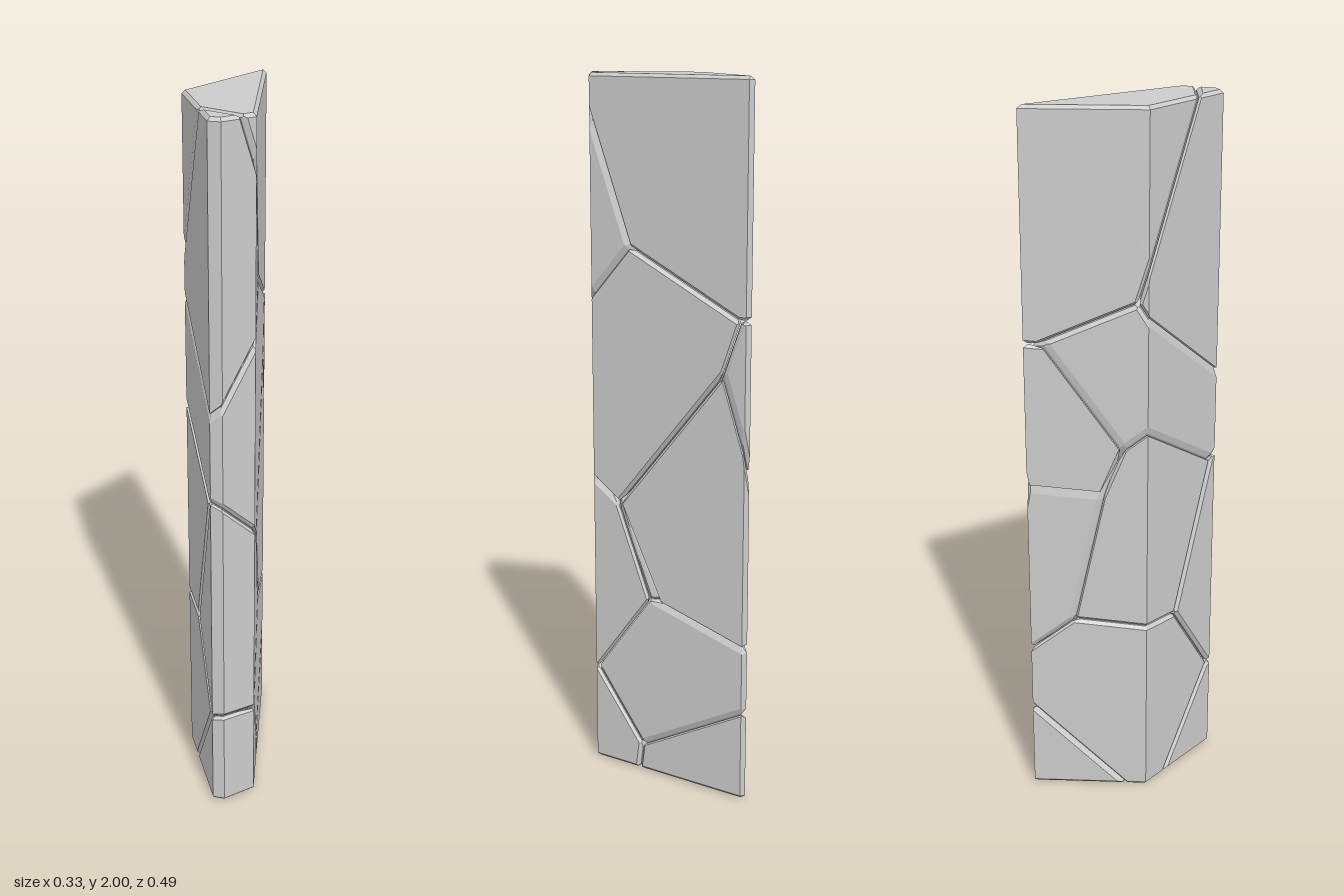
import * as THREE from 'three';

const V = (x, y, z) => new THREE.Vector3(x, y, z);
const GAP = 0.0015;   // half the width of a crack
const BEVEL = 0.009;  // width of the chamfered rims
const HEIGHT = 2;

// Footprint of the shard as x, z corners
const footprint = [
  [0.158, -0.244], [-0.127, -0.077], [-0.163, 0.222],
  [-0.135, 0.242], [-0.037, 0.222], [0.163, -0.23],
];

// Points on the three broad sides
const onRight = (z, y) => V(-0.037 + (0.222 - z) * 0.4425, y, z);
const onBack = (x, y) => V(x, y, -0.077 - (x + 0.127) * 0.586);
const onLeft = (z, y) => V(-0.127 - (z + 0.077) * 0.12, y, z);

// Junctions where cracks meet
const P = {
  a: onRight(0.11, 1.545), b: onRight(-0.21, 1.375), c: onRight(-0.17, 1.23),
  d: onRight(0.145, 0.81), e: onRight(0.045, 0.54), f: onRight(0.215, 0.29),
  g: onRight(0.075, 0.085), h: onRight(0.085, 0),
  i: onBack(-0.103, 1.49), j: onBack(0.106, 1.374), k: onBack(-0.07, 1.085),
  l: onBack(-0.018, 0.938), m: onBack(0.053, 0.556), n: onBack(-0.075, 0),
  o: onLeft(0.12, 2), p: onLeft(-0.077, 1.136), q: onLeft(0.206, 0.966),
  r: onLeft(0.052, 0.526), s: onLeft(0.206, 0.286),
  t: V(-0.163, 1.22, 0.222), u: V(-0.163, 0.98, 0.222), v: V(-0.037, 0.87, 0.222),
  w: V(-0.163, 0.29, 0.222), x: V(0.158, 1.378, -0.244), y: V(0.158, 0.955, -0.244),
  z: V(0.158, 0.46, -0.244), A: V(0.16, 0.265, -0.24),
  B: V(-0.048, 1.046, -0.099), C: V(-0.058, 0, 0.032),
};

// Cracks: piece above, piece below, three junctions on the plane between them
const cracks = [
  ['top', 'topFront', 'aoi'], ['top', 'upperMiddle', 'abi'],
  ['topFront', 'upperMiddle', 'ait'], ['top', 'upperBack', 'bjx'],
  ['upperMiddle', 'upperBack', 'cjk'], ['upperMiddle', 'middleRight', 'cdB'],
  ['upperBack', 'middleRight', 'cly'], ['upperMiddle', 'middleLeft', 'kpq'],
  ['upperBack', 'middleLeft', 'klB'], ['upperMiddle', 'lowerFront', 'dvu'],
  ['middleRight', 'middleLeft', 'lmd'], ['middleLeft', 'lowerFront', 'qrd'],
  ['middleRight', 'lowerMiddle', 'emz'], ['middleLeft', 'lowerMiddle', 'mre'],
  ['lowerFront', 'lowerMiddle', 'efr'], ['lowerMiddle', 'bottomFront', 'gfs'],
  ['lowerFront', 'bottomFront', 'fsw'], ['lowerMiddle', 'bottomBack', 'gAn'],
  ['bottomFront', 'bottomBack', 'ghC'],
];

// A half-space keeps the points with n.p <= d
const half = (n, d, side = false) => ({ n, d, side });

function outerPlanes() {
  const planes = [half(V(0, 1, 0), HEIGHT), half(V(0, -1, 0), 0)];
  footprint.forEach(([x, z], i) => {
    const [x2, z2] = footprint[(i + 1) % footprint.length];
    const n = V(z2 - z, 0, x - x2).normalize();
    if (n.x * x + n.z * z < 0) n.negate();
    planes.push(half(n, n.x * x + n.z * z, true));
  });
  return planes;
}

// All corners of the convex solid, each with the planes it lies on
function corners(planes) {
  const found = [];
  const cross = V(0, 0, 0);
  for (let i = 0; i < planes.length; i++)
    for (let j = i + 1; j < planes.length; j++)
      for (let k = j + 1; k < planes.length; k++) {
        const [a, b, c] = [planes[i], planes[j], planes[k]];
        const det = a.n.dot(cross.crossVectors(b.n, c.n));
        if (Math.abs(det) < 1e-5) continue;
        const p = cross.clone().multiplyScalar(a.d)
          .addScaledVector(cross.crossVectors(c.n, a.n), b.d)
          .addScaledVector(cross.crossVectors(a.n, b.n), c.d)
          .divideScalar(det);
        if (planes.some((q) => q.n.dot(p) > q.d + 1e-6)) continue;
        if (!found.some((q) => q.distanceToSquared(p) < 1e-9)) found.push(p);
      }
  return found;
}

const lying = (points, pl) => points.filter((p) => Math.abs(pl.n.dot(p) - pl.d) < 2e-5);

// Chamfer planes along every edge except the upright ones of the shard
function bevelPlanes(planes) {
  const points = corners(planes);
  const result = [];
  planes.forEach((a, i) => planes.slice(i + 1).forEach((b) => {
    if (a.side && b.side) return;
    const edge = lying(lying(points, a), b);
    const angle = a.n.angleTo(b.n);
    if (edge.length < 2 || angle < 0.4) return;
    const n = a.n.clone().add(b.n).normalize();
    result.push(half(n, n.dot(edge[0]) - BEVEL * Math.sin(angle / 2)));
  }));
  return result;
}

// Flat-faced solid bounded by the planes
function solid(planes) {
  const points = corners(planes);
  const pos = [];
  for (const pl of planes) {
    const ring = lying(points, pl);
    if (ring.length < 3) continue;
    const mid = ring.reduce((s, p) => s.add(p), V(0, 0, 0)).divideScalar(ring.length);
    const u = V(0, 0, 0).crossVectors(pl.n, Math.abs(pl.n.y) > 0.8 ? V(1, 0, 0) : V(0, 1, 0)).normalize();
    const v = V(0, 0, 0).crossVectors(pl.n, u);
    const turn = (p) => {
      const r = p.clone().sub(mid);
      return Math.atan2(r.dot(v), r.dot(u));
    };
    ring.sort((p, q) => turn(p) - turn(q));
    for (let i = 1; i < ring.length - 1; i++)
      for (const p of [ring[0], ring[i], ring[i + 1]]) pos.push(p.x, p.y, p.z);
  }
  const geo = new THREE.BufferGeometry();
  geo.setAttribute('position', new THREE.Float32BufferAttribute(pos, 3));
  geo.computeVertexNormals();
  return geo;
}

export function createModel() {
  const group = new THREE.Group();
  group.name = 'crackedStoneShard';
  const stone = new THREE.MeshStandardMaterial({ color: 0xcccccc, flatShading: true });

  // Each piece is the shard cut by the cracks around it
  const pieces = {};
  for (const [above, below, keys] of cracks) {
    const [a, b, c] = [...keys].map((key) => P[key]);
    const n = V(0, 0, 0).crossVectors(b.clone().sub(a), c.clone().sub(a)).normalize();
    if (n.y < 0) n.negate();
    const d = n.dot(a);
    (pieces[above] ??= outerPlanes()).push(half(n.clone().negate(), -d - GAP));
    (pieces[below] ??= outerPlanes()).push(half(n, d - GAP));
  }
  for (const [name, planes] of Object.entries(pieces)) {
    const mesh = new THREE.Mesh(solid([...planes, ...bevelPlanes(planes)]), stone);
    mesh.name = name + 'Piece';
    group.add(mesh);
  }
  return group;
}
